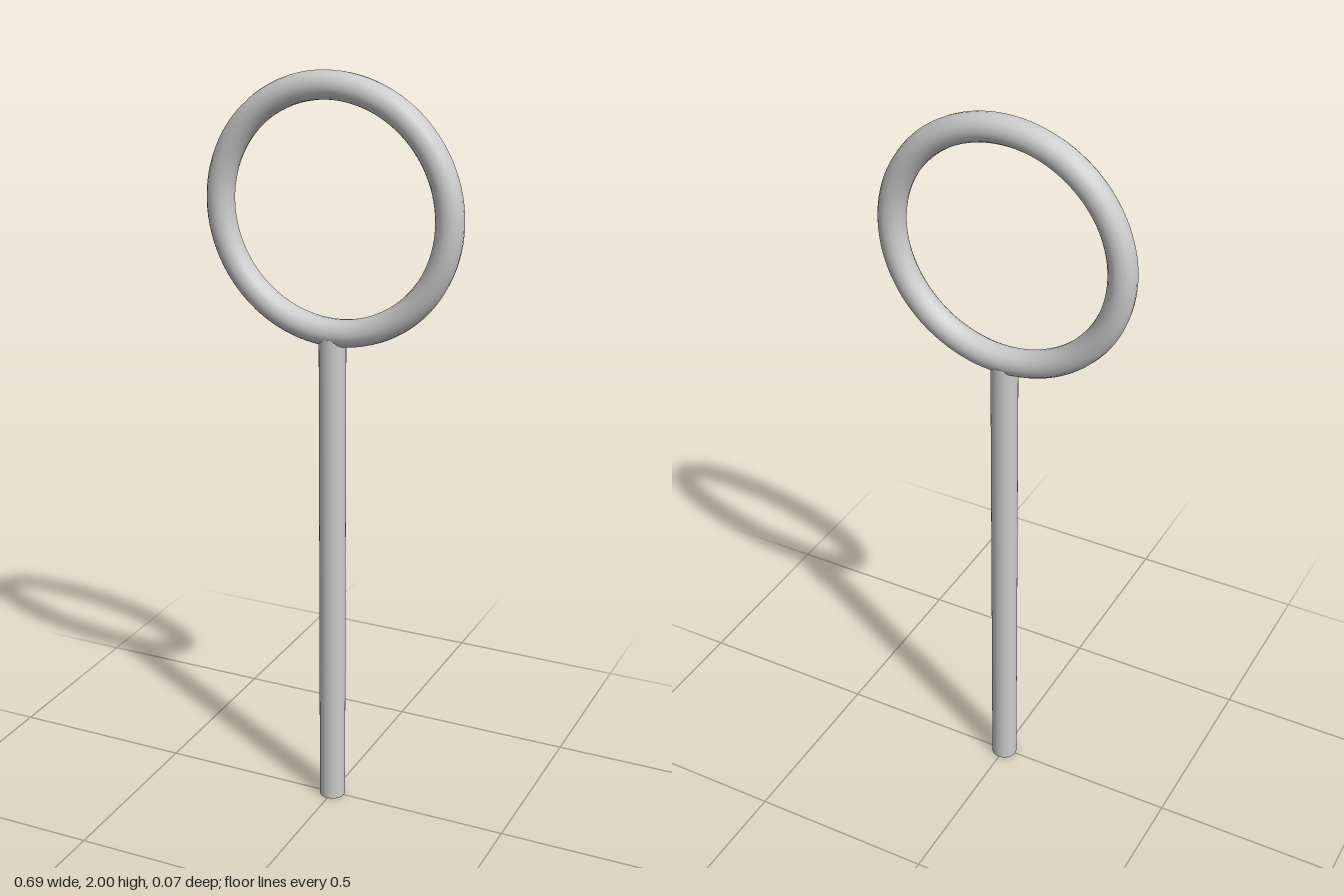
import * as THREE from 'three';

export function createModel() {
  const group = new THREE.Group();
  const material = new THREE.MeshStandardMaterial({ color: 0xcccccc });
  const tube = 0.036;
  const ringRadius = 0.311;
  const ringCentre = 2 - ringRadius - tube;

  // Upright ring
  const ring = new THREE.Mesh(new THREE.TorusGeometry(ringRadius, tube, 16, 96), material);
  ring.name = 'ring';
  ring.position.y = ringCentre;
  group.add(ring);

  // Straight rod, ending inside the bottom of the ring
  const rodHeight = 1.33;
  const rod = new THREE.Mesh(new THREE.CylinderGeometry(0.035, 0.035, rodHeight, 32), material);
  rod.name = 'handle';
  rod.position.y = rodHeight / 2;
  group.add(rod);

  return group;
}
